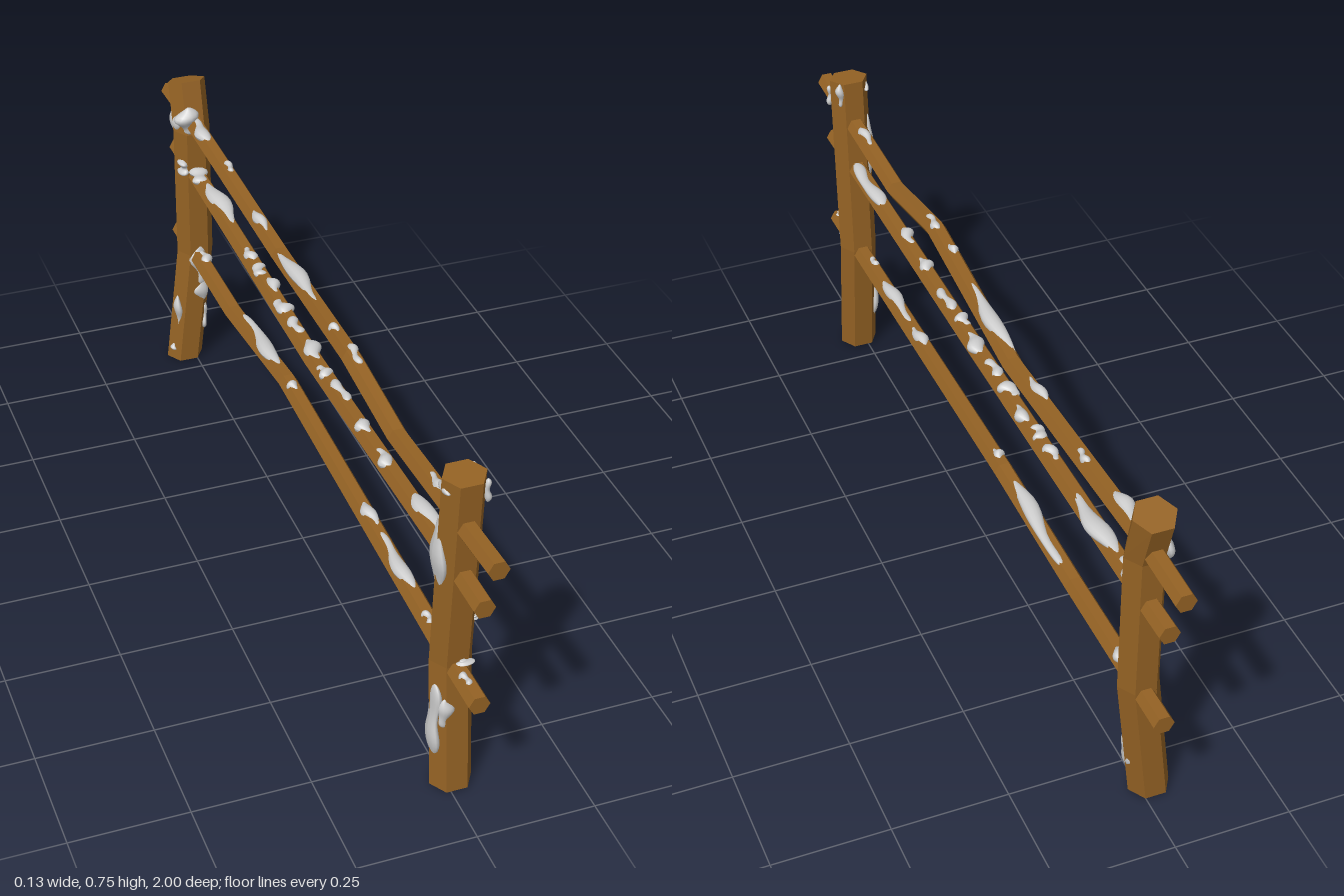
import * as THREE from 'three';

const wood = new THREE.MeshStandardMaterial({ color: 0x946224, flatShading: true });
const snow = new THREE.MeshStandardMaterial({ color: 0xcccccc });

// Centre lines as [x, y, z]; posts run upwards, rails run from back to front.
const posts = {
  front: [[0.013, 0, 0.832], [0.013, 0.3, 0.806], [0.013, 0.748, 0.832]],
  back: [[-0.022, 0, -0.826], [0.013, 0.3, -0.826], [0.013, 0.63, -0.826], [0.013, 0.744, -0.857]],
};
const rails = {
  top: [[0.013, 0.649, -1], [0.013, 0.654, -0.85], [0.02, 0.627, -0.2], [0.004, 0.66, 0.28],
    [0.01, 0.622, 0.52], [0.013, 0.649, 1]],
  middle: [[0.013, 0.523, -0.945], [0.013, 0.52, -0.8], [0.008, 0.507, 0.05], [0.013, 0.523, 0.78], [0.013, 0.523, 0.95]],
  bottom: [[0.013, 0.29, -0.945], [0.013, 0.29, -0.52], [0.022, 0.319, -0.16], [0.013, 0.29, 0.8], [0.013, 0.29, 0.95]],
};

// Six-sided bar whose rings follow the centre line.
function bar(name, path, radius, alongZ, topTilt = 0) {
  const n = path.length - 1;
  const geo = new THREE.CylinderGeometry(1, 1, 1, 6, n, false, Math.PI / 6);
  if (alongZ) geo.rotateX(Math.PI / 2);
  const p = geo.attributes.position;
  for (let i = 0; i < p.count; i++) {
    const level = Math.round(((alongZ ? p.getZ(i) : p.getY(i)) + 0.5) * n);
    const c = path[level];
    const side = (alongZ ? p.getY(i) : p.getZ(i)) * radius;
    const x = c[0] + p.getX(i) * radius;
    if (alongZ) p.setXYZ(i, x, c[1] + side, c[2]);
    else p.setXYZ(i, x, c[1] + (level === n ? side * topTilt : 0), c[2] + side * 0.93);
  }
  const flat = geo.toNonIndexed();
  flat.computeVertexNormals();
  const mesh = new THREE.Mesh(flat, wood);
  mesh.name = name;
  return mesh;
}

// Point on a centre line at a given height (axis 1) or depth (axis 2).
function pointAt(path, axis, value) {
  let i = 0;
  while (i < path.length - 2 && path[i + 1][axis] < value) i++;
  const a = path[i], b = path[i + 1];
  const t = (value - a[axis]) / (b[axis] - a[axis]);
  return a.map((v, k) => v + (b[k] - v) * t);
}

// Smooth, uneven clump of snow, long along z.
function clump(hx, hy, hz, seed) {
  const geo = new THREE.SphereGeometry(1, 14, 20).rotateX(Math.PI / 2);
  const p = geo.attributes.position;
  for (let i = 0; i < p.count; i++) {
    const x = p.getX(i), y = p.getY(i), z = p.getZ(i);
    const swell = 0.85 + 0.25 * Math.sin(z * 4 + seed * 2.1);
    const drift = 0.3 * Math.sin(z * 3 + seed * 1.7) * (1 - z * z);
    p.setXYZ(i, (x * swell + drift) * hx, y * swell * hy, z * hz);
  }
  geo.computeVertexNormals();
  const mesh = new THREE.Mesh(geo, snow);
  mesh.name = 'snow';
  return mesh;
}

// Snow on the rails: [middle z, half length, half width].
const railSnow = {
  top: [[-0.06, 0.13, 0.017], [0.29, 0.035, 0.012], [0.72, 0.04, 0.012], [-0.32, 0.05, 0.012],
    [-0.56, 0.025, 0.01], [-0.74, 0.06, 0.017], [0.18, 0.02, 0.01]],
  middle: [[0.69, 0.1, 0.02], [0.46, 0.035, 0.016], [0.34, 0.03, 0.016], [0.2, 0.045, 0.014], [0.12, 0.025, 0.016],
    [0.03, 0.045, 0.019], [-0.07, 0.035, 0.015], [-0.15, 0.03, 0.02], [-0.24, 0.035, 0.014],
    [-0.31, 0.025, 0.018], [-0.38, 0.03, 0.014], [-0.62, 0.11, 0.021], [-0.76, 0.035, 0.024]],
  bottom: [[0.52, 0.1, 0.016], [0.36, 0.045, 0.014], [0.7, 0.02, 0.01], [-0.34, 0.14, 0.018],
    [-0.12, 0.02, 0.012], [0.89, 0.02, 0.01], [-0.76, 0.03, 0.014]],
};

// Snow on the posts: [height, half height, x offset, z offset, half x, half z].
const postSnow = {
  front: [[0.56, 0.092, -0.037, -0.006, 0.012, 0.028], [0.16, 0.09, -0.036, 0.004, 0.013, 0.03],
    [0.19, 0.035, -0.025, 0.03, 0.016, 0.012], [0.722, 0.012, -0.038, -0.004, 0.008, 0.022],
    [0.705, 0.026, 0.045, 0.01, 0.008, 0.009], [0.72, 0.03, 0.03, -0.026, 0.01, 0.01],
    [0.31, 0.007, 0.01, 0.04, 0.018, 0.01], [0.39, 0.006, 0.043, 0.005, 0.006, 0.007]],
  back: [[0.665, 0.035, -0.015, 0.038, 0.028, 0.02], [0.66, 0.05, -0.032, -0.006, 0.012, 0.03],
    [0.54, 0.02, -0.03, 0.02, 0.015, 0.025], [0.27, 0.055, 0.006, 0.034, 0.022, 0.01],
    [0.2, 0.035, 0.018, 0.033, 0.018, 0.008], [0.11, 0.04, 0.036, 0.008, 0.01, 0.022],
    [0.13, 0.05, -0.033, 0.015, 0.01, 0.016], [0.03, 0.012, -0.034, 0.012, 0.008, 0.01]],
};

export function createModel() {
  const fence = new THREE.Group();
  fence.name = 'snowyFence';

  // Posts and rails
  fence.add(bar('frontPost', posts.front, 0.045, false, -0.08));
  fence.add(bar('backPost', posts.back, 0.045, false, 0.27));
  for (const key in rails) fence.add(bar(key + 'Rail', rails[key], 0.022, true));

  // Snow lying along the rails, tilted to match their slope
  let seed = 1;
  for (const key in railSnow) {
    const group = new THREE.Group();
    group.name = key + 'RailSnow';
    for (const [z, half, width] of railSnow[key]) {
      const c = pointAt(rails[key], 2, z);
      const a = pointAt(rails[key], 2, z - half), b = pointAt(rails[key], 2, z + half);
      const m = clump(width, 0.013, half, seed++);
      m.position.set(c[0] + 0.005 * Math.sin(seed * 2.3), (a[1] + b[1] + 2 * c[1]) / 4 + 0.015, z);
      m.rotation.x = -Math.atan2(b[1] - a[1], 2 * half);
      group.add(m);
    }
    fence.add(group);
  }

  // Snow stuck to the posts
  for (const key in postSnow) {
    const group = new THREE.Group();
    group.name = key + 'PostSnow';
    for (const [y, half, dx, dz, hx, hz] of postSnow[key]) {
      const c = pointAt(posts[key], 1, y);
      const m = clump(hx, hz, half, seed++);
      m.rotation.x = -Math.PI / 2;
      m.position.set(c[0] + dx, y, c[2] + dz);
      group.add(m);
    }
    fence.add(group);
  }
  return fence;
}
